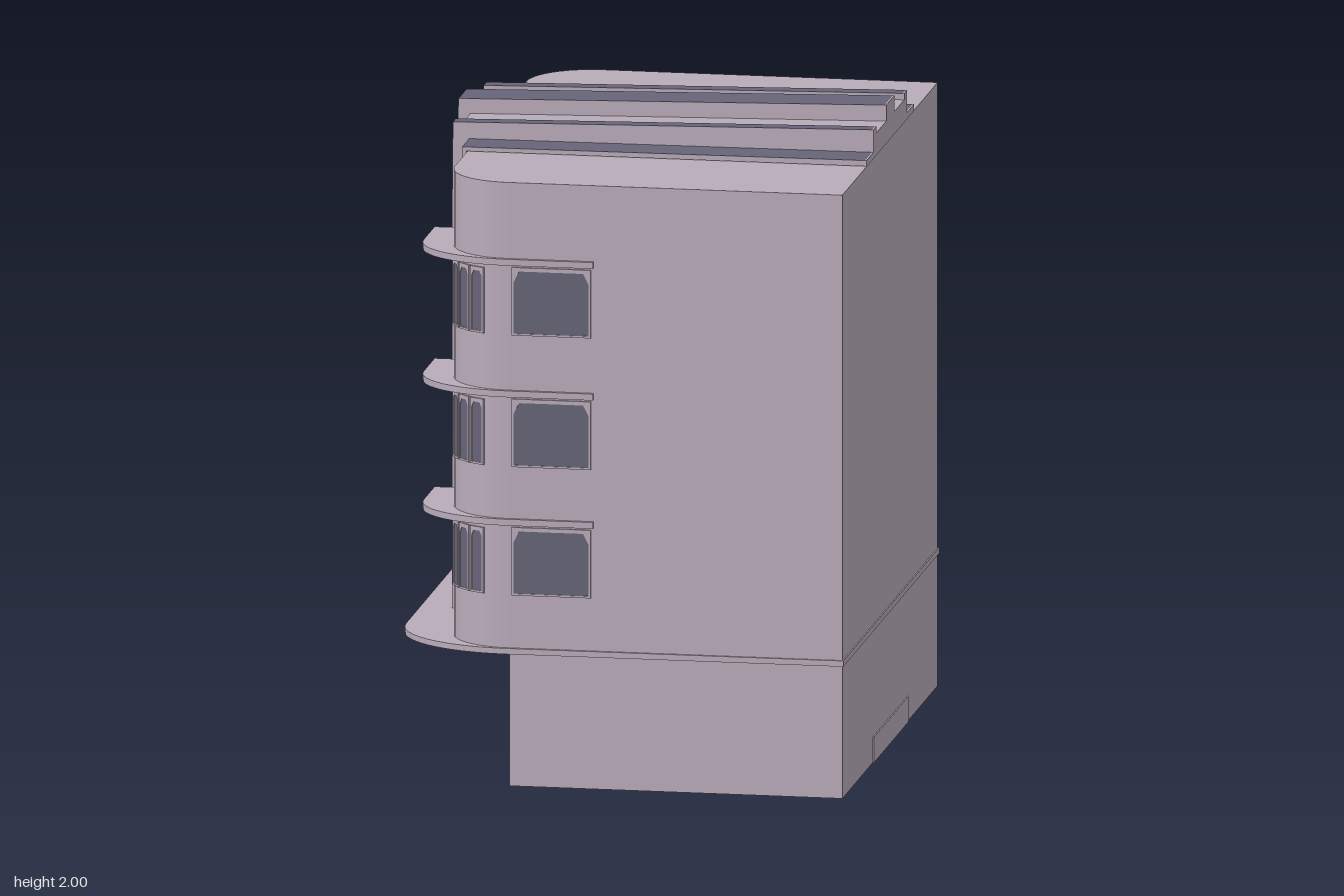
import * as THREE from 'three';

const wall = new THREE.MeshStandardMaterial({ color: 0xb8abb8, side: THREE.DoubleSide });
wall.name = 'mauve plaster';
const dark = new THREE.MeshStandardMaterial({ color: 0x666477, side: THREE.DoubleSide });
dark.name = 'slate';

const FRONT = -0.535, BACK = 0.7, SIDE = 0.82, ROOF = 1.88, DECK = 0.43;
const FLOORS = [0.595, 0.995, 1.405];

function add(parent, name, geometry, material = wall) {
  const mesh = new THREE.Mesh(geometry, material);
  mesh.name = name;
  parent.add(mesh);
  return mesh;
}

const toShape = pts => new THREE.Shape(pts.map(p => new THREE.Vector2(p[0], p[1])));

// Quarter ellipse in plan, from the side wall round to the facade
function corner(cx, cz, rx, rz, s, n = 12) {
  return Array.from({ length: n + 1 }, (_, i) => {
    const a = (1 - i / n) * Math.PI / 2;
    return [cx - rx * Math.cos(a), s * (cz + rz * Math.sin(a))];
  });
}

// Plan with two rounded facade corners and a straight back
function plan(cx, cz, rx, rz, back, side) {
  return [[back, side], ...corner(cx, cz, rx, rz, 1),
    ...corner(cx, cz, rx, rz, -1).reverse(), [back, -side]];
}

// Horizontal slab from an (x, z) outline
function slab(shape, top, thick) {
  return new THREE.ExtrudeGeometry(shape, { depth: thick, bevelEnabled: false })
    .rotateX(Math.PI / 2).translate(0, top, 0);
}

// Open wall shell following a closed plan
function shell(pts, y0, y1) {
  const v = [];
  pts.forEach(([ax, az], i) => {
    const [bx, bz] = pts[(i + 1) % pts.length];
    v.push(ax, y0, az, ax, y1, az, bx, y1, bz, ax, y0, az, bx, y1, bz, bx, y0, bz);
  });
  const g = new THREE.BufferGeometry();
  g.setAttribute('position', new THREE.Float32BufferAttribute(v, 3));
  g.computeVertexNormals();
  return g;
}

// Glazed panel with slim surround; nx, nz is the outward direction
function glazing(parent, name, x, y, z, nx, nz, w, h, cut) {
  const g = new THREE.Group();
  g.name = name;
  const a = w / 2, b = a - 0.006, t = h - 0.012;
  const pane = [[-b, 0.006], [b, 0.006], [b, t - cut], [b - cut * 0.5, t], [-b + cut * 0.5, t], [-b, t - cut]];
  const glass = new THREE.ExtrudeGeometry(toShape(pane), { depth: 0.009, bevelEnabled: false });
  add(g, 'glass', glass.translate(0, 0, -0.0045), dark);
  const rim = toShape([[-a, 0], [a, 0], [a, h], [-a, h]]);
  rim.holes.push(toShape(pane));
  const frame = new THREE.ExtrudeGeometry(rim, { depth: 0.013, bevelEnabled: false });
  add(g, 'frame', frame.translate(0, 0, -0.0065));
  g.position.set(x, y, z);
  g.rotation.y = Math.atan2(nx, nz);
  parent.add(g);
}

// Fin running up the facade and back across the roof
function fin(parent, name, z0, z1, xLow, xTop, yFront, yBack, face) {
  const s = toShape([[xLow, DECK], [xLow, 1.64], [xTop, yFront], [BACK - 0.002, yBack],
    [BACK - 0.002, ROOF + 0.002], [FRONT - 0.002, ROOF + 0.002], [FRONT - 0.002, DECK]]);
  const g = new THREE.ExtrudeGeometry(s, { depth: z1 - z0, bevelEnabled: false });
  add(parent, name, g.translate(0, 0, z0), [wall, face]);
}

export function createModel() {
  const model = new THREE.Group();
  model.name = 'apartmentBuilding';

  // Recessed ground floor and rounded upper storeys
  add(model, 'groundFloorWalls', shell([[BACK, SIDE], [-0.33, SIDE], [-0.33, -SIDE], [BACK, -SIDE]], 0, 0.42));
  const upper = plan(-0.335, 0.62, 0.2, 0.2, BACK, SIDE);
  add(model, 'upperWalls', shell(upper, 0.42, ROOF));
  add(model, 'roof', slab(toShape(upper), ROOF, 0.01));

  // Canopy over the street, open to the interior
  const canopy = toShape(plan(-0.34, 0.53, 0.362, 0.3, 0.704, 0.826));
  canopy.holes.push(toShape([[-0.33, 0.815], [-0.33, -0.815], [0.695, -0.815], [0.695, 0.815]]));
  add(model, 'canopy', slab(canopy, DECK, 0.018));

  // Stepped back gable closing the roof fins
  const steps = [[0.41, ROOF], [0.41, 1.9], [0.29, 1.9], [0.29, 1.97], [0.24, 1.97], [0.24, 1.95], [0.07, 1.95], [0.07, 2]];
  const gable = toShape([...steps, ...steps.map(([z, y]) => [-z, y]).reverse()]);
  add(model, 'backGable', new THREE.ExtrudeGeometry(gable, { depth: 0.005, bevelEnabled: false })
    .rotateY(Math.PI / 2).translate(BACK - 0.004, 0, 0));
  add(model, 'backPlinth', new THREE.BoxGeometry(0.008, 0.08, 0.6).translate(BACK, 0.04, 0));

  // Central fin and entrance
  fin(model, 'centralFin', -0.07, 0.07, -0.635, -0.622, 1.97, 2, dark);
  for (const z of [-0.065, 0.065]) {
    glazing(model, 'entranceDoor', -0.33, 0.02, z, -1, 0, 0.128, 0.36, 0);
  }

  for (const s of [1, -1]) {
    const band = (name, a, b, ...rest) =>
      fin(model, name, Math.min(s * a, s * b), Math.max(s * a, s * b), ...rest);
    band('windowBay', 0.07, 0.24, -0.587, -0.585, 1.925, 1.95, wall);
    band('middleFin', 0.24, 0.29, -0.603, -0.6, 1.945, 1.97, dark);
    band('outerFin', 0.29, 0.41, -0.552, -0.55, 1.895, 1.9, dark);

    // Shopfront panes
    for (const z of [0.35, 0.605]) {
      glazing(model, 'shopWindow', -0.33, 0.08, s * z, -1, 0, 0.25, 0.29, 0);
    }

    for (const y of FLOORS) {
      // Side, corner, facade and bay windows
      glazing(model, 'sideWindow', -0.2, y, s * SIDE, 0, s, 0.245, 0.212, 0.035);
      for (const deg of [29, 45, 61]) {
        const a = deg * Math.PI / 180, c = Math.cos(a), d = Math.sin(a);
        glazing(model, 'cornerWindow', -0.335 - 0.2 * c, y, s * (0.62 + 0.2 * d), -c, s * d, 0.05, 0.205, 0.015);
      }
      glazing(model, 'facadeWindow', FRONT, y, s * 0.515, -1, 0, 0.17, 0.212, 0.03);
      glazing(model, 'bayWindow', -0.588, y, s * 0.155, -1, 0, 0.13, 0.212, 0.025);

      // Curved sunshade ledge above the windows
      const ledge = toShape([[-0.07, s * 0.832], ...corner(-0.335, 0.6, 0.3, 0.232, s), [-0.635, s * 0.41],
        [FRONT, s * 0.41], ...corner(-0.335, 0.62, 0.2, 0.2, s).reverse(), [-0.07, s * SIDE]]);
      add(model, 'sunshadeLedge', slab(ledge, y + 0.238, 0.02));
    }
  }
  return model;
}
